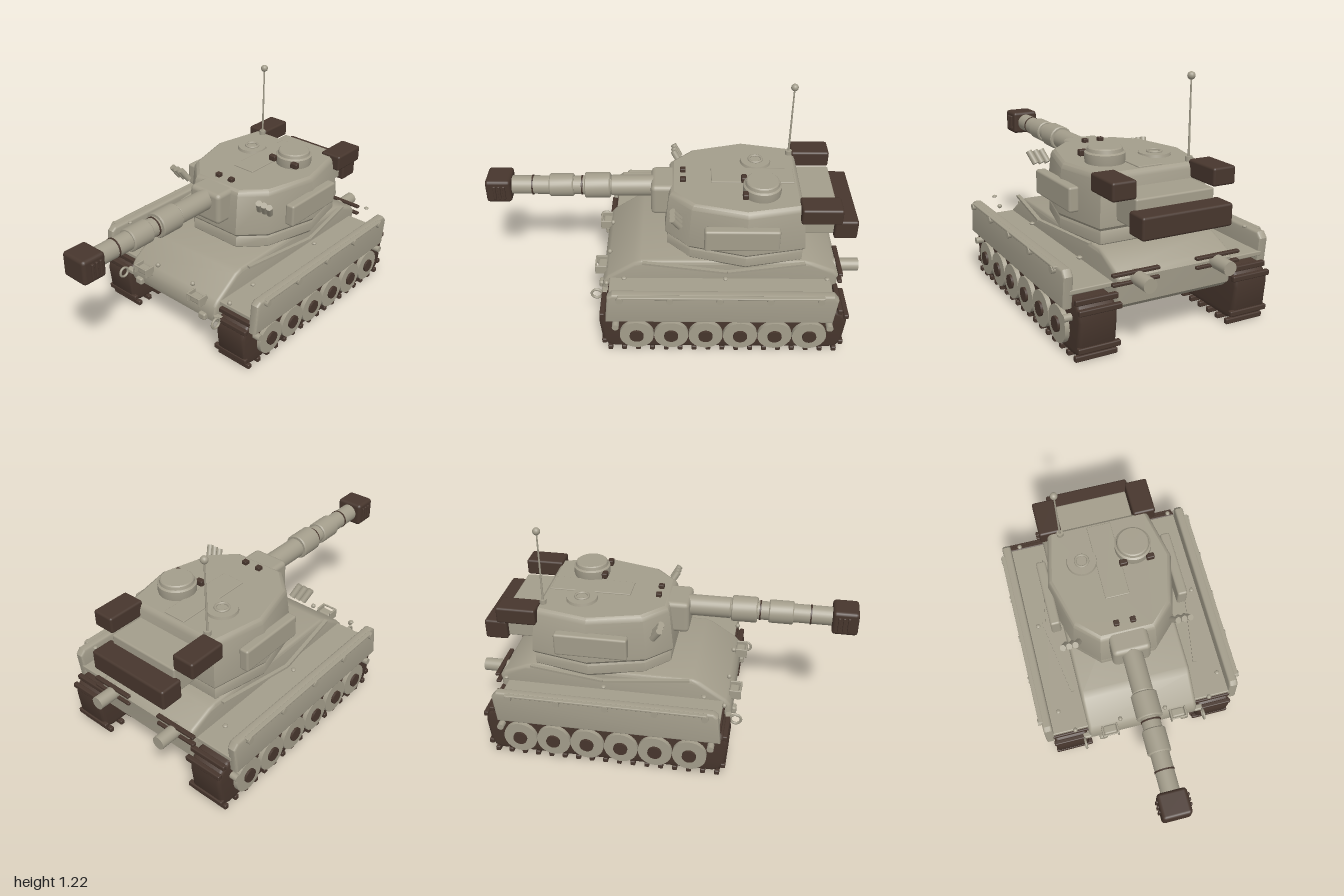
import * as THREE from 'three';
import { toCreasedNormals } from 'three/addons/utils/BufferGeometryUtils.js';
import { RoundedBoxGeometry } from 'three/addons/geometries/RoundedBoxGeometry.js';

const armour = new THREE.MeshStandardMaterial({ name: 'armour', color: 0xa39d8b });
const rubber = new THREE.MeshStandardMaterial({ name: 'darkBrown', color: 0x47362d });

export function createModel() {
  const model = new THREE.Group();
  model.name = 'tank';

  const add = (name, geo, x, y, z, mat = armour) => {
    const m = new THREE.Mesh(geo, mat);
    m.name = name;
    m.position.set(x, y, z);
    model.add(m);
    return m;
  };
  // Rounded box given by its extents
  const box = (name, x0, x1, y0, y1, z0, z1, mat = armour, r = 0.01) => {
    const w = x1 - x0, h = y1 - y0, d = z1 - z0;
    const geo = new RoundedBoxGeometry(w, h, d, 2, Math.min(r, Math.min(w, h, d) * 0.45));
    return add(name, geo, (x0 + x1) / 2, (y0 + y1) / 2, (z0 + z1) / 2, mat);
  };
  // Cylinder along a chosen axis
  const cyl = (name, axis, r, len, x, y, z, mat = armour, rTop = r, seg = 28) => {
    const geo = new THREE.CylinderGeometry(rTop, r, len, seg);
    if (axis === 'x') geo.rotateZ(-Math.PI / 2);
    if (axis === 'z') geo.rotateX(Math.PI / 2);
    return add(name, geo, x, y, z, mat);
  };
  const ball = (name, r, x, y, z) => add(name, new THREE.SphereGeometry(r, 16, 12), x, y, z);
  // Side profile of [z, y] points, extruded across x with a small bevel
  const profile = (name, pts, width, x, mat, bevel) => {
    const shape = new THREE.Shape(pts.map(([z, y]) => new THREE.Vector2(z, y)));
    const depth = width - 2 * bevel;
    const geo = new THREE.ExtrudeGeometry(shape, {
      depth, bevelThickness: bevel, bevelSize: bevel, bevelOffset: -bevel, bevelSegments: 3,
    });
    geo.translate(0, 0, -depth / 2).rotateY(-Math.PI / 2);
    return add(name, toCreasedNormals(geo, 0.6), x, 0, 0, mat);
  };
  // Loft of a mirrored [x, z] half plan through [y, scale] levels
  const loft = (name, half, levels, cz) => {
    const plan = [...half, ...half.map(([x, z]) => [-x, z]).reverse()];
    const n = plan.length, pos = [], idx = [];
    for (const [y, s] of levels) for (const [x, z] of plan) pos.push(x * s, y, cz + (z - cz) * s);
    for (let l = 0; l < levels.length - 1; l++) {
      for (let i = 0; i < n; i++) {
        const a = l * n + i, b = l * n + (i + 1) % n;
        idx.push(a, b, b + n, a, b + n, a + n);
      }
    }
    const top = (levels.length - 1) * n;
    for (let i = 1; i < n - 1; i++) idx.push(0, i + 1, i, top, top + i, top + i + 1);
    const geo = new THREE.BufferGeometry();
    geo.setAttribute('position', new THREE.Float32BufferAttribute(pos, 3));
    geo.setIndex(idx);
    return add(name, toCreasedNormals(geo, 0.55), 0, 0, 0);
  };

  // Hull
  profile('hull', [[0.34, 0.2], [0.375, 0.215], [0.385, 0.25], [0.375, 0.31], [0.35, 0.34], [0.21, 0.435],
    [0.17, 0.45], [-0.7, 0.45], [-0.74, 0.44], [-0.86, 0.39], [-0.885, 0.36], [-0.875, 0.23],
    [-0.84, 0.2]], 0.63, 0, armour, 0.02);

  for (const s of [-1, 1]) {
    const side = s > 0 ? 'left' : 'right';
    const sbox = (name, x0, x1, ...rest) =>
      box(side + name, Math.min(s * x0, s * x1), Math.max(s * x0, s * x1), ...rest);

    // Track belt and cleats
    profile(side + 'Track', [[0.31, 0.02], [0.35, 0.035], [0.375, 0.08], [0.388, 0.2], [0.38, 0.24],
      [0.35, 0.27], [0.3, 0.29], [-0.84, 0.29], [-0.88, 0.27], [-0.908, 0.24], [-0.912, 0.2],
      [-0.9, 0.08], [-0.88, 0.035], [-0.84, 0.02]], 0.19, s * 0.42, rubber, 0.02);
    const cleats = [[0.365, 0.065], [0.37, 0.25], [0.335, 0.285], [-0.895, 0.065], [-0.905, 0.25], [-0.87, 0.285]];
    for (let i = 0; i < 17; i++) cleats.push([0.335 - i * 0.075, 0.014]);
    for (const [z, y] of cleats) sbox('Cleat', 0.305, 0.52, y - 0.014, y + 0.014, z - 0.013, z + 0.013, rubber, 0.006);

    // Road wheels
    for (let i = 0; i < 6; i++) {
      const z = 0.19 - i * 0.182;
      cyl(side + 'Wheel', 'x', 0.09, 0.04, s * 0.518, 0.13, z);
      cyl(side + 'WheelHub', 'x', 0.037, 0.05, s * 0.525, 0.13, z, rubber);
    }
    for (const z of [0.3, -0.82]) cyl(side + 'AxleCap', 'x', 0.018, 0.05, s * 0.53, 0.2, z);

    // Fender, skirt, rail and bolts
    sbox('Fender', 0.3, 0.53, 0.31, 0.335, -0.84, 0.34, armour, 0.006);
    profile(side + 'Skirt', [[0.35, 0.245], [0.335, 0.41], [0.31, 0.43], [-0.82, 0.43], [-0.845, 0.4],
      [-0.83, 0.245]], 0.05, s * 0.535, armour, 0.012);
    sbox('SkirtRail', 0.55, 0.575, 0.417, 0.43, -0.77, 0.28, armour, 0.004);
    for (let i = 0; i < 5; i++) cyl(side + 'SkirtBolt', 'x', 0.018, 0.03, s * 0.565, 0.41, 0.27 - i * 0.255, armour, 0.018, 12);
    for (const z of [0.25, -0.27, -0.79]) ball(side + 'FenderBolt', 0.013, s * 0.455, 0.46, z).scale.y = 0.6;

    // Bent splash strip beside the turret ring
    for (const [za, zb] of [[0.16, -0.28], [-0.69, -0.28]]) {
      const len = Math.hypot(0.07, zb - za);
      const m = add(side + 'SplashStrip', new THREE.BoxGeometry(0.02, 0.012, len), s * 0.385, 0.472, (za + zb) / 2);
      m.rotation.y = s * Math.atan2(0.07, zb - za);
    }

    // Front fittings: light guard, tow block, tow ring, bolts
    for (const x of [0.155, 0.24]) sbox('LightGuardPost', x - 0.005, x + 0.005, 0.3, 0.355, 0.36, 0.425, armour, 0.004);
    sbox('LightGuardBar', 0.15, 0.245, 0.345, 0.355, 0.415, 0.425, armour, 0.004);
    sbox('HeadLight', 0.16, 0.235, 0.302, 0.34, 0.36, 0.41);
    sbox('TowBlock', 0.215, 0.262, 0.215, 0.255, 0.36, 0.405);
    const ring = new THREE.TorusGeometry(0.028, 0.007, 8, 20).rotateY(Math.PI / 2);
    add(side + 'TowRing', ring, s * 0.347, 0.25, 0.41);
    sbox('TowRingArm', 0.3, 0.355, 0.235, 0.265, 0.35, 0.385);
    for (const x of [0.13, 0.388]) ball(side + 'FrontBolt', 0.013, s * x, 0.365, 0.35);

    // Exhaust and rear grille bars
    cyl(side + 'Exhaust', 'z', 0.035, 0.14, s * 0.215, 0.355, -0.93);
    for (const y of [0.34, 0.385]) sbox('GrilleBar', 0.1, 0.345, y - 0.008, y + 0.008, -0.9, -0.875, rubber, 0.005);

    // Turret side plate, smoke tubes and corner stowage
    sbox('TurretSidePlate', 0.33, 0.385, 0.58, 0.705, -0.545, -0.16, armour, 0.012);
    const tilt = new THREE.Vector3(s * 0.3, 0.8, 0.5).normalize();
    for (let i = 0; i < 3; i++) {
      const tube = cyl(side + 'SmokeTube', 'y', 0.017, 0.075, s * (0.27 + i * 0.034), 0.728, -0.015);
      tube.quaternion.setFromUnitVectors(new THREE.Vector3(0, 1, 0), tilt);
    }
    sbox('StowageBox', 0.205, 0.33, 0.71, 0.8, -0.86, -0.65, rubber, 0.012);

    // Roof sights and cupola periscopes
    sbox('RoofSight', 0.03, 0.06, 0.775, 0.805, -0.065, -0.035, rubber, 0.004);
    box('cupolaPeriscope', 0.15 + s * 0.075 - 0.022, 0.15 + s * 0.075 + 0.022, 0.803, 0.835, -0.385, -0.355, rubber, 0.006);
  }

  // Turret ring and turret body
  const plan = [[0.16, 0.045], [0.285, -0.08], [0.365, -0.38], [0.3, -0.69]];
  loft('turretRing', plan, [[0.44, 0.94], [0.455, 0.97], [0.505, 0.97], [0.53, 0.93]], -0.33);
  loft('turret', plan, [[0.52, 0.97], [0.535, 1], [0.55, 1], [0.755, 0.945], [0.775, 0.92], [0.785, 0.88]], -0.35);
  box('turretBustle', -0.21, 0.21, 0.56, 0.71, -0.86, -0.62);
  box('rearStowage', -0.24, 0.24, 0.55, 0.66, -0.968, -0.845, rubber, 0.012);
  box('roofPlate', -0.067, 0.067, 0.78, 0.792, -0.64, -0.2, armour, 0.004);

  // Cupola
  const cupola = [[0, 0.77], [0.095, 0.77], [0.1, 0.8], [0.1, 0.835], [0.09, 0.842], [0.086, 0.858], [0.08, 0.863], [0, 0.863]];
  const cupolaGeo = new THREE.LatheGeometry(cupola.map(([r, y]) => new THREE.Vector2(r, y)), 36);
  add('cupola', toCreasedNormals(cupolaGeo, 0.6), 0.15, 0, -0.46);

  // Round hatch with handle
  cyl('hatch', 'y', 0.085, 0.02, -0.14, 0.79, -0.445, armour, 0.08);
  const handle = new THREE.TorusGeometry(0.035, 0.007, 8, 20).rotateX(Math.PI / 2);
  add('hatchHandle', handle, -0.14, 0.802, -0.445);

  // Antenna
  cyl('antennaBase', 'y', 0.018, 0.035, -0.217, 0.792, -0.635);
  cyl('antennaRod', 'y', 0.006, 0.4, -0.217, 1.0, -0.635, armour, 0.004, 10);
  ball('antennaTip', 0.02, -0.217, 1.2, -0.635);

  // Mantlet, barrel with sleeves, muzzle brake
  box('mantlet', -0.105, 0.105, 0.6, 0.78, -0.02, 0.12, armour, 0.025);
  const gunY = 0.722;
  cyl('barrel', 'z', 0.05, 0.8, 0, gunY, 0.48);
  for (const [r, z0, z1] of [[0.056, 0.1, 0.335], [0.069, 0.338, 0.475], [0.062, 0.535, 0.665]]) {
    const b = 0.006;
    const pts = [[0.04, z0], [r - b, z0], [r, z0 + b], [r, z1 - b], [r - b, z1], [0.04, z1]];
    const geo = new THREE.LatheGeometry(pts.map(([x, y]) => new THREE.Vector2(x, y)), 32).rotateX(Math.PI / 2);
    add('barrelSleeve', toCreasedNormals(geo, 0.6), 0, gunY, 0);
  }
  for (const z of [0.49, 0.755]) cyl('barrelBand', 'z', 0.053, 0.008, 0, gunY, z, rubber);
  box('muzzleBrake', -0.077, 0.077, 0.655, 0.788, 0.865, 1, rubber, 0.018);
  for (const s of [-1, 1]) {
    for (const z of [0.9, 0.925, 0.95]) {
      box('muzzleVent', s * 0.08 - 0.007, s * 0.08 + 0.007, 0.68, 0.762, z - 0.007, z + 0.007, rubber, 0.004);
    }
  }
  return model;
}
